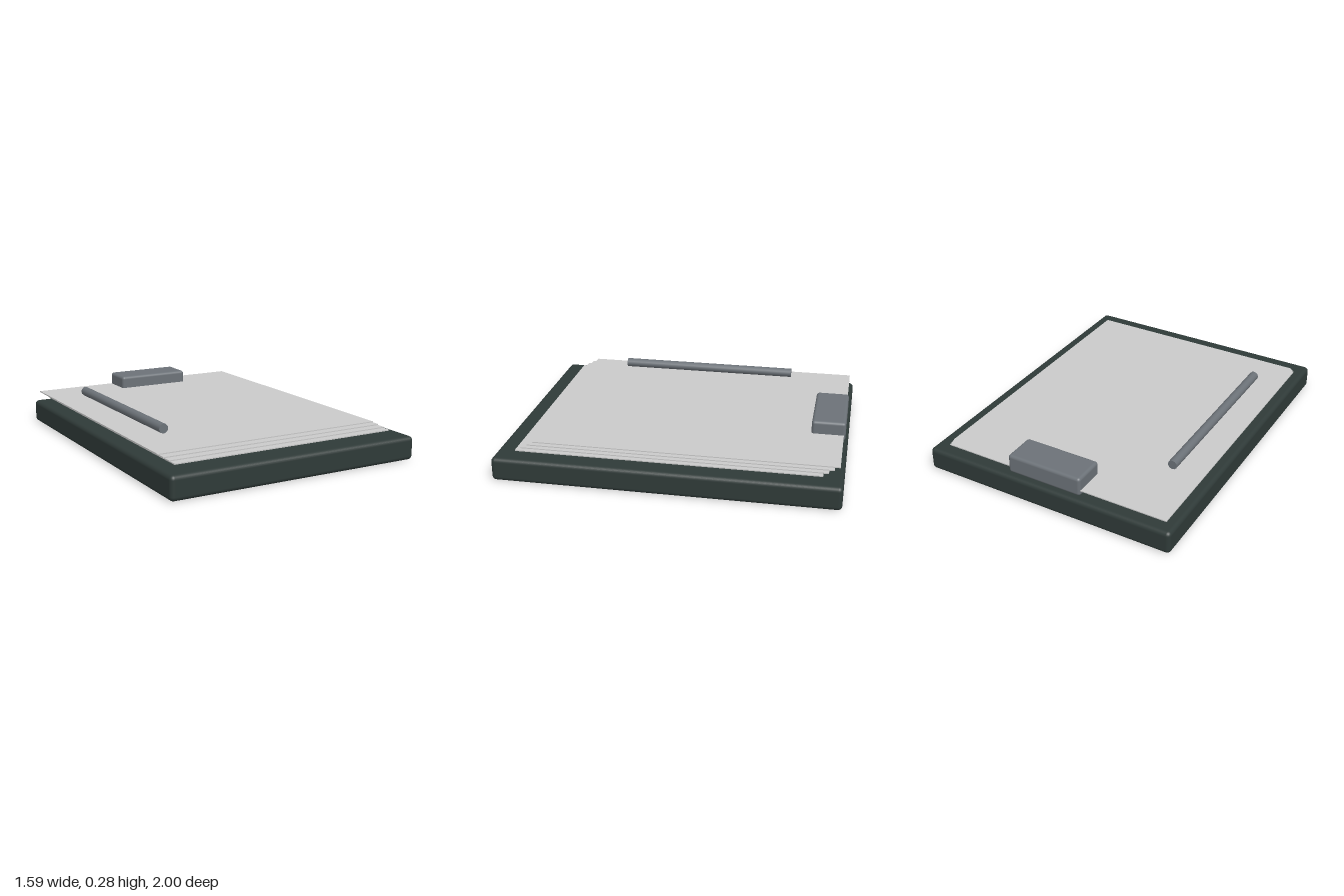
import * as THREE from 'three';
import { RoundedBoxGeometry } from 'three/addons/geometries/RoundedBoxGeometry.js';

export function createModel() {
  const model = new THREE.Group();
  model.name = 'clipboard';

  const material = (name, color) => {
    const m = new THREE.MeshStandardMaterial({ color });
    m.name = name;
    return m;
  };
  const darkGreen = material('dark board green', 0x2f3a38);
  const paper = material('paper grey', 0xcacaca);
  const metal = material('metal grey', 0x6c7278);

  const add = (name, geometry, mat, x, y, z) => {
    const mesh = new THREE.Mesh(geometry, mat);
    mesh.name = name;
    mesh.position.set(x, y, z);
    model.add(mesh);
    return mesh;
  };

  // Backing board
  add('board', new RoundedBoxGeometry(1.585, 0.14, 2, 3, 0.025), darkGreen, 0, 0.07, 0);

  // Fanned stack of loose sheets, each shifted back and to the side
  const sheet = new THREE.BoxGeometry(1.415, 0.006, 1.765);
  for (let i = 0; i < 4; i++) {
    add('sheet' + (i + 1), sheet, paper, -0.002 - i * 0.0167, 0.161 + i * 0.0123, -0.003 - i * 0.03);
  }

  // Clip at the back edge
  add('clip', new RoundedBoxGeometry(0.47, 0.115, 0.2, 3, 0.018), metal, 0, 0.22, -0.885);

  // Pen lying along the sheets
  const pen = add('pen', new THREE.CylinderGeometry(0.028, 0.028, 1.115, 12), metal, -0.59, 0.256, -0.032);
  pen.rotation.x = Math.PI / 2;

  return model;
}
